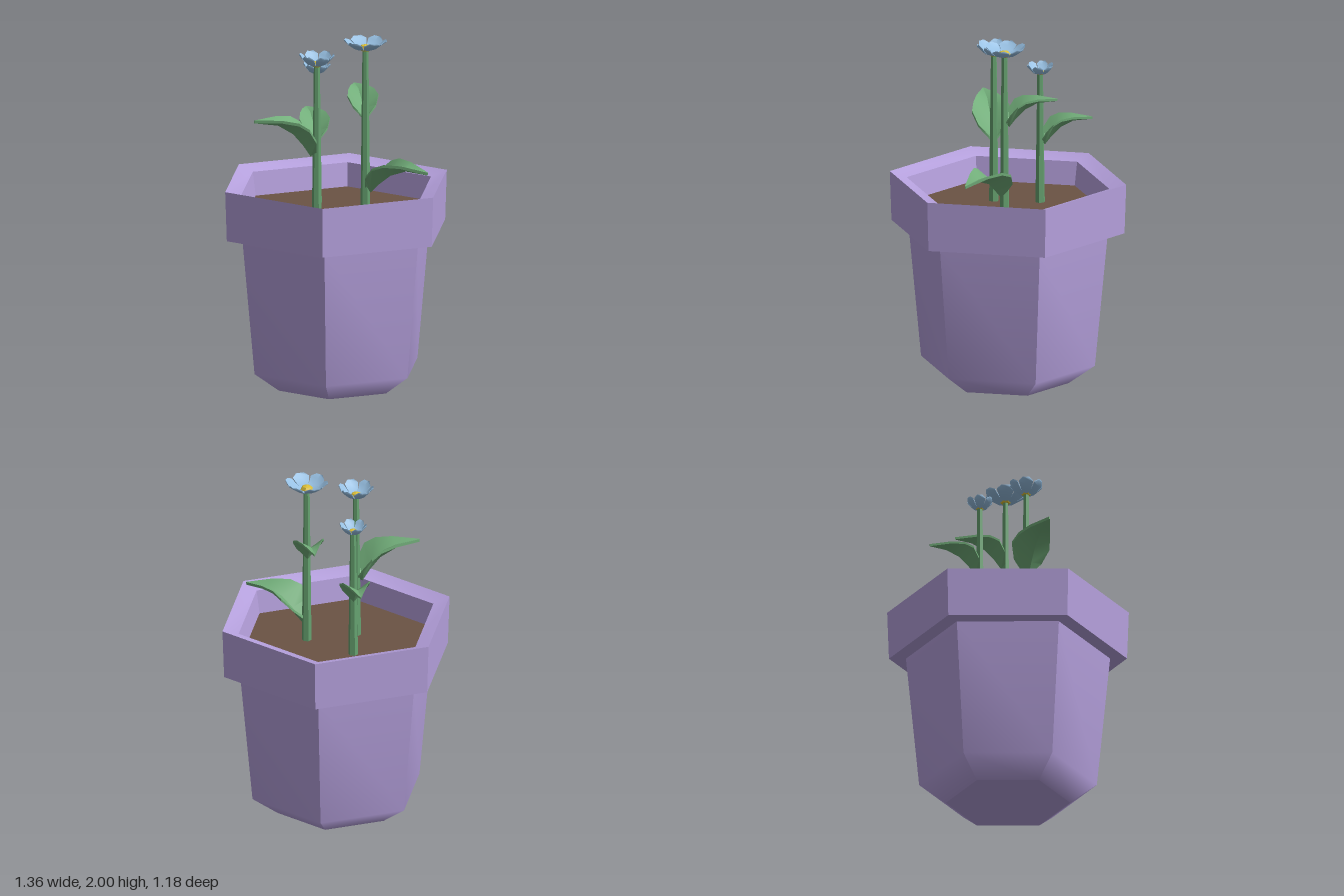
import * as THREE from 'three';
import { toCreasedNormals } from 'three/addons/utils/BufferGeometryUtils.js';

const mat = (name, color, flatShading = false) => {
  const m = new THREE.MeshStandardMaterial({ color, flatShading });
  m.name = name;
  return m;
};

// Thick V-shaped blade along +z; each station is [midZ, midY, edgeZ, edgeY, halfWidth]
function blade(stations, thickness) {
  const pos = [], idx = [];
  for (const [mz, my, ez, ey, w] of stations) {
    const t = thickness;
    pos.push(-w, ey, ez, 0, my, mz, w, ey, ez, w, ey - t, ez, 0, my - t, mz, -w, ey - t, ez);
  }
  const n = stations.length;
  for (let i = 0; i < n - 1; i++) {
    for (let k = 0; k < 6; k++) {
      const a = i * 6 + k, b = i * 6 + (k + 1) % 6;
      idx.push(a, a + 6, b + 6, a, b + 6, b);
    }
  }
  const e = (n - 1) * 6;
  for (const [a, b, c] of [[0, 1, 4], [0, 4, 5], [1, 2, 3], [1, 3, 4]]) {
    idx.push(a, b, c, e + c, e + b, e + a);
  }
  const g = new THREE.BufferGeometry();
  g.setAttribute('position', new THREE.Float32BufferAttribute(pos, 3));
  g.setIndex(idx);
  return toCreasedNormals(g, 0.7);
}

// Turned profile over the given number of 60 degree sides, with corners on the x axis
const turned = (points, sides) => new THREE.LatheGeometry(
  points.map(p => new THREE.Vector2(...p)), sides, Math.PI / 2, sides * Math.PI / 3);

export function createModel() {
  const root = new THREE.Group();
  const purple = mat('purple clay', 0xb7a2df);
  const brown = mat('brown soil', 0x6b5344);
  const stemGreen = mat('stem green', 0x66a270, true);
  const leafGreen = mat('leaf green', 0x72ae7a);
  const blue = mat('petal blue', 0x98c1e4);
  const yellow = mat('yellow centre', 0xdcbf38, true);

  const add = (parent, name, geometry, material, x = 0, y = 0, z = 0) => {
    const m = new THREE.Mesh(geometry, material);
    m.name = name;
    m.position.set(x, y, z);
    parent.add(m);
    return m;
  };

  // Pot: six sides, each softly rounded into its bottom bevel
  const sideGeo = turned([[0.35, 0], [0.5, 0.11], [0.575, 0.9]], 1);
  sideGeo.computeVertexNormals();
  for (let i = 0; i < 6; i++) add(root, 'potSide', sideGeo, purple).rotation.y = i * Math.PI / 3;
  const rimProfile = [[0.57, 0.895], [0.67, 0.895], [0.68, 1.18], [0.583, 1.15], [0.56, 1.0]];
  add(root, 'potRim', toCreasedNormals(turned(rimProfile, 6), 0.6), purple);
  add(root, 'potBottom', new THREE.CircleGeometry(0.35, 6), purple).rotation.x = Math.PI / 2;
  add(root, 'soil', new THREE.CircleGeometry(0.562, 6), brown, 0, 1.015, 0).rotation.x = -Math.PI / 2;

  // Leaf and petal shapes of unit length
  const leafGeo = blade([
    [0.03, 0.06, 0.02, 0.09, 0.06],
    [0.1, 0.02, 0.07, 0.28, 0.23],
    [0.22, 0.2, 0.19, 0.47, 0.31],
    [0.38, 0.39, 0.35, 0.57, 0.26],
    [0.62, 0.54, 0.6, 0.61, 0.165],
    [1, 0.6, 1, 0.6, 0.006],
  ], 0.045);
  const petalGeo = blade([
    [0.12, 0.06, 0.12, 0.08, 0.09],
    [0.5, 0.22, 0.5, 0.3, 0.28],
    [0.78, 0.62, 0.78, 0.75, 0.4],
    [1, 0.93, 0.94, 1, 0.18],
  ], 0.1);

  // Each leaf: base height, tip x and z, droop at the tip
  const plants = [
    { x: -0.135, z: 0.04, y: 1.867, r: 0.1, cup: 0.07, leaves: [[1.355, -0.495, -0.015, 0]] },
    { x: 0.15, z: 0.07, y: 1.94, r: 0.122, cup: 0.06, leaves: [[1.535, 0.207, -0.21, 0.025], [1.135, 0.375, 0.355, 0.075]] },
    { x: -0.03, z: -0.2, y: 1.762, r: 0.077, cup: 0.06, leaves: [[1.36, 0.028, -0.477, 0.025]] },
  ];

  for (const p of plants) {
    const plant = new THREE.Group();
    plant.name = 'flowerPlant';
    plant.position.set(p.x, 0, p.z);
    root.add(plant);

    const h = p.y - 1;
    add(plant, 'stem', new THREE.CylinderGeometry(0.017, 0.028, h, 6), stemGreen, 0, 1 + h / 2, 0);

    for (const [y, tx, tz, droop] of p.leaves) {
      const dx = tx - p.x, dz = tz - p.z;
      const len = Math.hypot(dx, dz);
      const leaf = add(plant, 'leaf', leafGeo, leafGreen, 0, y, 0);
      leaf.scale.setScalar(len);
      leaf.rotation.set(droop / len, Math.atan2(dx, dz), 0, 'YXZ');
    }

    // Flower head
    const flower = new THREE.Group();
    flower.name = 'flowerHead';
    flower.position.y = p.y;
    plant.add(flower);
    for (let i = 0; i < 6; i++) {
      const petal = add(flower, 'petal', petalGeo, blue);
      petal.scale.set(p.r, p.cup, p.r);
      petal.rotation.y = i * Math.PI / 3;
    }
    const c = 0.015 + p.r * 0.18;
    add(flower, 'flowerCentre', new THREE.SphereGeometry(c, 6, 4), yellow, 0, 0.011, 0).scale.y = 0.6;
  }
  return root;
}
